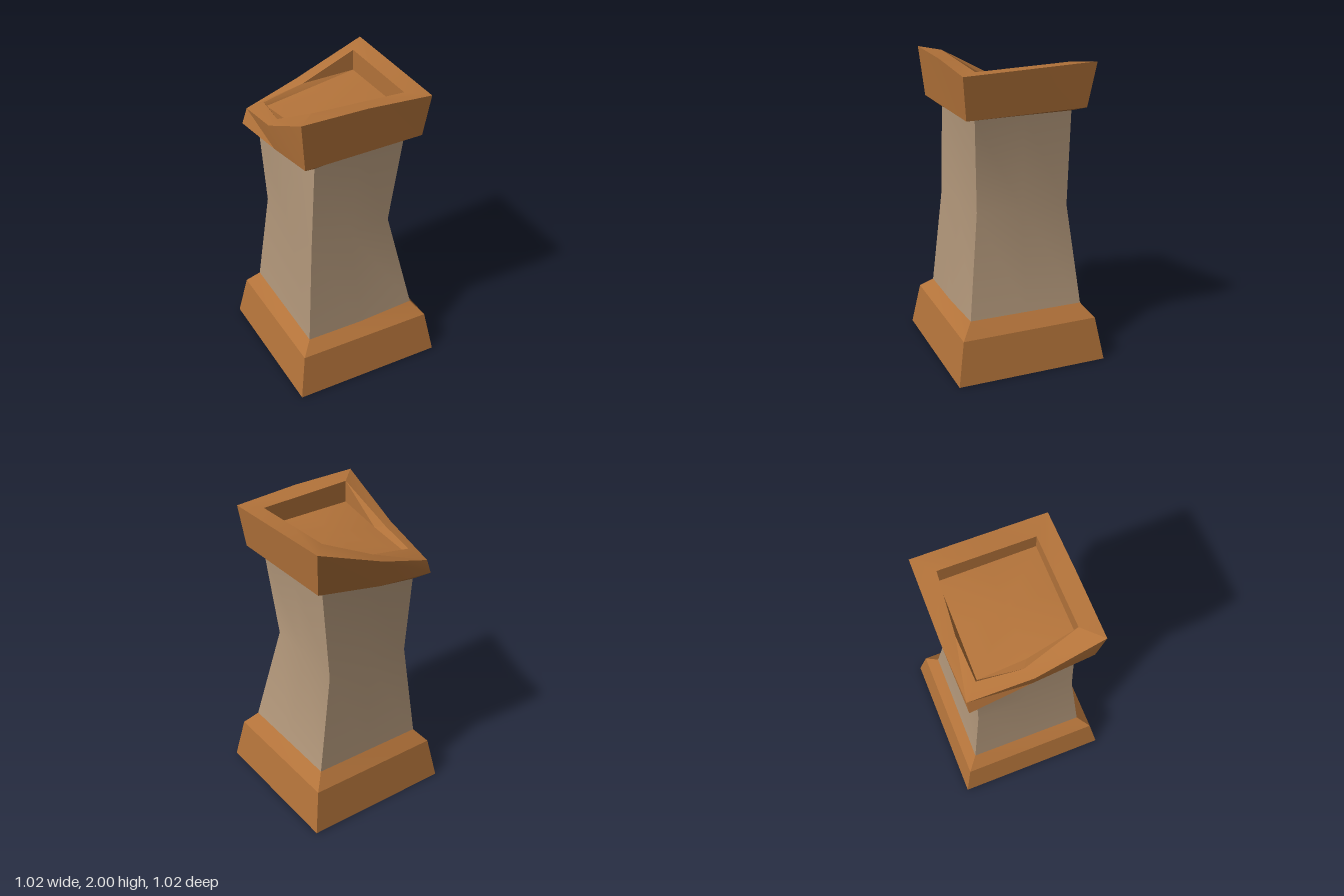
import * as THREE from 'three';
import { toCreasedNormals } from 'three/addons/utils/BufferGeometryUtils.js';

const mid = (a, b) => a.map((v, i) => (v + b[i]) / 2);

// Eight-point ring: four corners and the middle of each side (back and left may be set)
function ring(bl, br, fr, fl, back, left) {
  return [bl, back || mid(bl, br), br, mid(br, fr), fr, mid(fr, fl), fl, left || mid(fl, bl)];
}
const square = (s, y) => ring([-s, y, -s], [s, y, -s], [s, y, s], [-s, y, s]);

// Skin between successive rings, with optional fans closing the first and last
function loft(rings, startCentre, endCentre, crease = 0.4) {
  const pos = [];
  const tri = (...pts) => pts.forEach((p) => pos.push(...p));
  for (let r = 0; r + 1 < rings.length; r++) {
    for (let i = 0; i < 8; i++) {
      const j = (i + 1) % 8;
      const a = rings[r][i], b = rings[r][j], c = rings[r + 1][j], d = rings[r + 1][i];
      tri(a, d, c, a, c, b);
    }
  }
  const last = rings[rings.length - 1];
  for (let i = 0; i < 8; i++) {
    const j = (i + 1) % 8;
    if (startCentre) tri(startCentre, rings[0][i], rings[0][j]);
    if (endCentre) tri(endCentre, last[j], last[i]);
  }
  const geo = new THREE.BufferGeometry();
  geo.setAttribute('position', new THREE.Float32BufferAttribute(pos, 3));
  geo.computeVertexNormals();
  return toCreasedNormals(geo, crease);
}

export function createModel() {
  const group = new THREE.Group();
  const wood = new THREE.MeshStandardMaterial({ name: 'warm brown', color: 0xb3733a });
  const stone = new THREE.MeshStandardMaterial({ name: 'taupe', color: 0xb2977a });
  const add = (name, geo, mat) => {
    const mesh = new THREE.Mesh(geo, mat);
    mesh.name = name;
    group.add(mesh);
  };

  // Shared rings where the shaft meets the base and the cap
  const foot = ring([-0.385, 0.38, -0.39], [0.385, 0.38, -0.385], [0.385, 0.385, 0.385], [-0.385, 0.36, 0.385],
    null, null);
  foot[5][1] = 0.36;
  const waist = ring([-0.325, 1.03, -0.325], [0.27, 1.04, -0.325], [0.245, 1.055, 0.285], [-0.33, 1.03, 0.325]);
  const neck = ring([-0.36, 1.55, -0.335], [0.32, 1.68, -0.32], [0.32, 1.68, 0.32], [-0.30, 1.62, 0.32],
    [-0.03, 1.60, -0.33], [-0.335, 1.57, 0]);

  // Chamfered base
  add('base', loft([square(0.51, 0), square(0.46, 0.29), foot], [0, 0, 0]), wood);

  // Pinched shaft
  add('shaft', loft([foot, waist, neck]), stone);

  // Sagging cap: underside, outer wall, rim, recess wall and recess floor
  const capBottom = ring([-0.44, 1.6, -0.41], [0.395, 1.71, -0.39], [0.395, 1.70, 0.40], [-0.40, 1.68, 0.40],
    [-0.05, 1.63, -0.40], [-0.41, 1.62, 0]);
  const capTop = ring([-0.405, 1.70, -0.41], [0.43, 2.0, -0.435], [0.43, 1.975, 0.43], [-0.435, 2.0, 0.43],
    [-0.05, 1.81, -0.43], [-0.44, 1.79, 0]);
  capTop[5][1] = 2.0;
  const rim = ring([-0.325, 1.765, -0.32], [0.31, 1.985, -0.31], [0.31, 1.97, 0.31], [-0.31, 1.99, 0.31],
    [-0.04, 1.82, -0.335], [-0.365, 1.795, -0.04]);
  const floor = ring([-0.31, 1.74, -0.31], [0.31, 1.845, -0.31], [0.31, 1.845, 0.31], [-0.31, 1.845, 0.31],
    null, [-0.31, 1.785, 0]);
  add('cap', loft([neck, capBottom, capTop, rim, floor], null, [0, 1.835, 0]), wood);

  return group;
}
